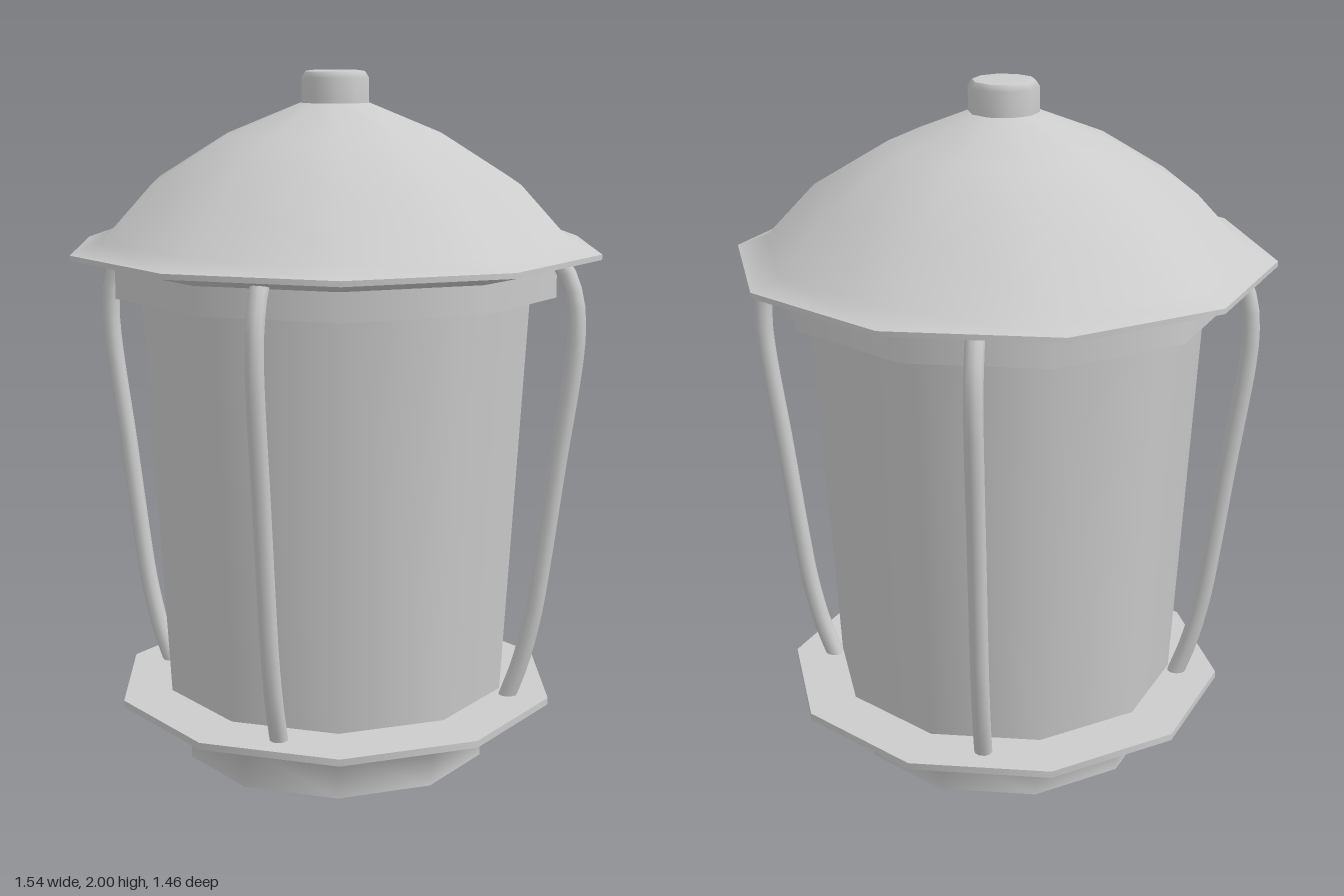
import * as THREE from 'three';
import { mergeGeometries } from 'three/addons/utils/BufferGeometryUtils.js';

const SIDES = 10;
const material = new THREE.MeshStandardMaterial({ color: 0xcccccc });

// Ten-sided turned part; each strip of [radius, y] points is smooth, edges between strips stay sharp
function turned(name, strips) {
  const parts = strips.map((strip) =>
    new THREE.LatheGeometry(strip.map(([r, y]) => new THREE.Vector2(r, y)), SIDES));
  const geometry = mergeGeometries(parts).rotateY(Math.PI / 2);
  const mesh = new THREE.Mesh(geometry, material);
  mesh.name = name;
  return mesh;
}

export function createModel() {
  const lantern = new THREE.Group();
  lantern.name = 'lantern';

  // Foot flaring into the wide bottom plate
  lantern.add(turned('base', [
    [[0, 0], [0.45, 0]],
    [[0.45, 0], [0.45, 0.12], [0.65, 0.18]],
    [[0.65, 0.18], [0.65, 0.2]],
    [[0.65, 0.2], [0, 0.2]],
  ]));

  // Tapered glass body
  lantern.add(turned('glass', [
    [[0, 0.215], [0.505, 0.215]],
    [[0.505, 0.215], [0.572, 1.4]],
    [[0.572, 1.4], [0, 1.4]],
  ]));

  // Band under the roof that holds the glass
  lantern.add(turned('collar', [
    [[0.56, 1.38], [0.645, 1.38]],
    [[0.645, 1.38], [0.645, 1.48]],
  ]));

  // Domed roof with a thin flared brim
  lantern.add(turned('roof', [
    [[0, 1.46], [0.645, 1.46], [0.77, 1.49]],
    [[0.77, 1.49], [0.77, 1.505]],
    [[0.77, 1.505], [0.685, 1.535], [0.54, 1.69], [0.325, 1.82], [0.1, 1.91], [0, 1.93]],
  ]));

  // Knob on top
  lantern.add(turned('knob', [
    [[0.1, 1.89], [0.1, 1.98], [0.088, 1.997]],
    [[0.088, 1.997], [0.07, 2], [0, 2]],
  ]));

  // Four bent guard wires
  const path = new THREE.CatmullRomCurve3([
    [0.527, 0.19], [0.565, 0.3], [0.6, 0.45], [0.622, 0.6], [0.66, 0.9],
    [0.698, 1.18], [0.705, 1.28], [0.697, 1.38], [0.665, 1.465], [0.65, 1.485],
  ].map(([x, y]) => new THREE.Vector3(x, y, 0)));
  const wireGeometry = new THREE.TubeGeometry(path, 28, 0.026, 10);
  for (let i = 0; i < 4; i++) {
    const wire = new THREE.Mesh(wireGeometry, material);
    wire.name = 'guardWire';
    wire.rotation.y = i * Math.PI / 2;
    lantern.add(wire);
  }

  return lantern;
}
